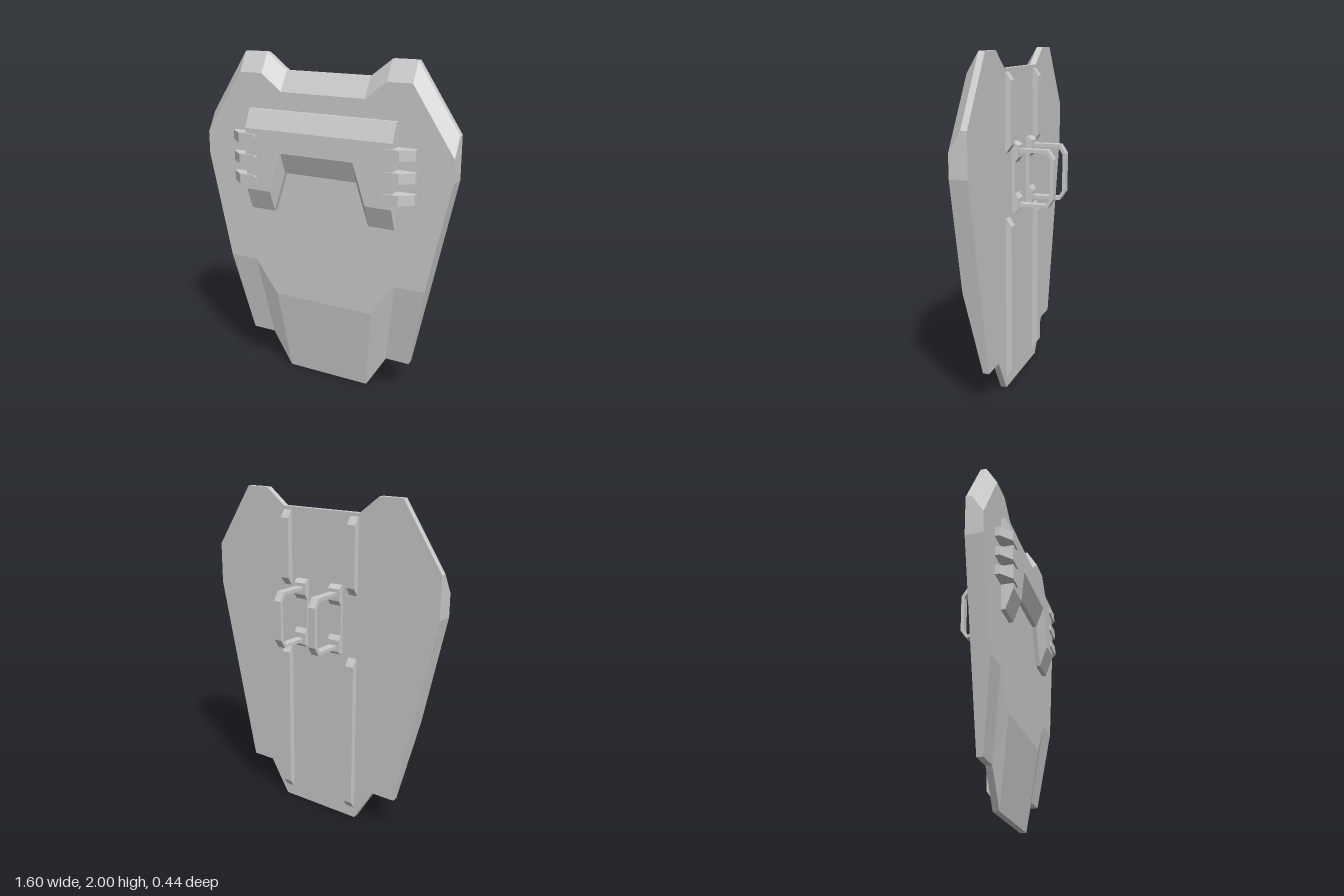
import * as THREE from 'three';

const material = new THREE.MeshStandardMaterial({ color: 0xcccccc, flatShading: true, side: THREE.DoubleSide });

// Closed solid through matching counter-clockwise outlines, ordered back to front: { z, pts }
function loft(layers) {
  const n = layers[0].pts.length;
  const positions = [];
  const index = [];
  layers.forEach(({ z, pts }) => pts.forEach(([x, y]) => positions.push(x, y, z)));
  for (let l = 0; l < layers.length - 1; l++) {
    for (let i = 0; i < n; i++) {
      const a = l * n + i, b = l * n + (i + 1) % n;
      index.push(a, b, b + n, a, b + n, a + n);
    }
  }
  const cap = ({ pts }) => THREE.ShapeUtils.triangulateShape(pts.map(p => new THREE.Vector2(...p)), []);
  const last = (layers.length - 1) * n;
  cap(layers[0]).forEach(([a, b, c]) => index.push(a, c, b));
  cap(layers[layers.length - 1]).forEach(([a, b, c]) => index.push(a + last, b + last, c + last));
  const geometry = new THREE.BufferGeometry();
  geometry.setAttribute('position', new THREE.Float32BufferAttribute(positions, 3));
  geometry.setIndex(index);
  const flat = geometry.toNonIndexed();
  flat.computeVertexNormals();
  return flat;
}

// Full outline from its right half, listed top to bottom
const mirrored = half => [...half].reverse().concat(half.map(([x, y]) => [-x, y]));

// Side profile given as [z, y], extruded across x and centred on x = 0
function sideExtrude(profile, width) {
  const shape = new THREE.Shape(profile.map(p => new THREE.Vector2(...p)));
  const geometry = new THREE.ExtrudeGeometry(shape, { depth: width, bevelEnabled: false });
  return geometry.translate(0, 0, -width / 2).rotateY(-Math.PI / 2);
}

export function createModel() {
  const model = new THREE.Group();
  model.name = 'shield';
  const add = (name, geometry, x = 0, y = 0) => {
    const mesh = new THREE.Mesh(geometry, material);
    mesh.name = name;
    mesh.position.set(x, y, 0);
    model.add(mesh);
  };

  // Main plate with bevelled top and tapered foot
  const rim = mirrored([[0.27, 1.9], [0.4, 2], [0.55, 2], [0.8, 1.62],
    [0.8, 1.37], [0.55, 0.21], [0.4, 0.21], [0.27, 0]]);
  const face = mirrored([[0.27, 1.785], [0.4, 1.885], [0.55, 1.885], [0.8, 1.505],
    [0.8, 1.37], [0.66, 0.72], [0.475, 0.72], [0.325, 0.515]]);
  add('mainPlate', loft([{ z: 0.03, pts: rim }, { z: 0.067, pts: rim }, { z: 0.135, pts: face }]));

  // Raised bracket-shaped plate on the front
  const raisedBase = mirrored([[0.475, 1.68], [0.475, 1.07], [0.313, 1.07], [0.235, 1.315]]);
  const raisedFace = mirrored([[0.475, 1.57], [0.475, 1.2], [0.313, 1.2], [0.235, 1.44]]);
  add('raisedPlate', loft([{ z: 0.13, pts: raisedBase }, { z: 0.16, pts: raisedBase }, { z: 0.21, pts: raisedFace }]));

  // Three clips on each side of the raised plate
  const clipOutline = (outerX, side) => {
    const pts = [[outerX, -0.03], [outerX, 0.03], [0.42, 0.03], [0.4, 0.018], [0.4, -0.018], [0.42, -0.03]];
    return side > 0 ? pts : pts.map(([x, y]) => [-x, y]).reverse();
  };
  for (const side of [1, -1]) {
    const base = clipOutline(0.592, side);
    const clip = loft([{ z: 0.13, pts: base }, { z: 0.162, pts: base }, { z: 0.22, pts: clipOutline(0.518, side) }]);
    for (const y of [1.51, 1.383, 1.26]) add(side > 0 ? 'leftClip' : 'rightClip', clip, 0, y);
  }

  // Back rails, handle mounts and handles
  const rail = (y0, y1) => sideExtrude([[0.035, y0], [0.035, y1], [0.025, y1], [-0.006, y1 - 0.045],
    [-0.006, y0 + 0.045], [0.025, y0]], 0.055);
  const upperRail = rail(1.43, 1.88);
  const lowerRail = rail(0.07, 1.05);
  const mount = sideExtrude([[0.035, 1.06], [0.035, 1.48], [0.015, 1.48], [-0.01, 1.46], [-0.01, 1.39], [0.01, 1.36],
    [0.01, 1.18], [-0.01, 1.15], [-0.01, 1.08], [0.015, 1.06]], 0.08);
  const handle = sideExtrude([[0, 1.44], [-0.182, 1.44], [-0.217, 1.387], [-0.217, 1.153], [-0.182, 1.1], [0, 1.1],
    [0, 1.12], [-0.171, 1.12], [-0.197, 1.159], [-0.197, 1.381], [-0.171, 1.42], [0, 1.42]], 0.05);
  for (const side of [1, -1]) {
    add('upperRail', upperRail, side * 0.24);
    add('lowerRail', lowerRail, side * 0.24);
    add('handleMount', mount, side * 0.125);
    add('handle', handle, side * 0.125);
  }
  return model;
}
